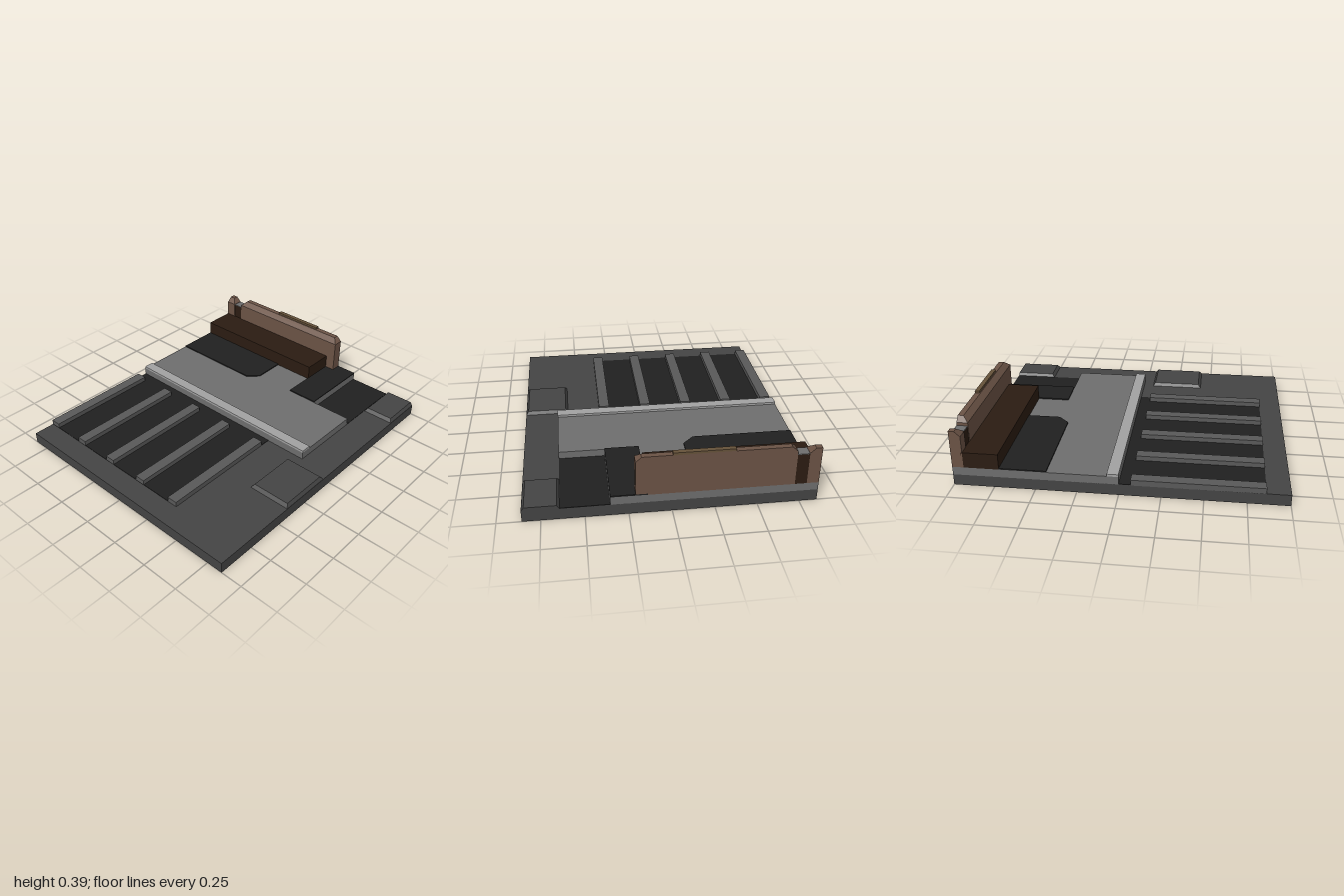
import * as THREE from 'three';

const colors = {
  base: 0x444444, rib: 0x595959, dark: 0x202020, deck: 0x6e6e6e,
  trim: 0xa2a2a2, wall: 0x6b5345, wood: 0x2b1c12, strip: 0x66523a,
};
const materials = {};
for (const key in colors) materials[key] = new THREE.MeshStandardMaterial({ color: colors[key], flatShading: true });

// Box given by its limits; inset pulls in the top edges [left -x, right +x, back -z, front +z]
function block(parent, name, mat, [x0, x1], [y0, y1], [z0, z1], inset = [0, 0, 0, 0]) {
  const geo = new THREE.BoxGeometry(x1 - x0, y1 - y0, z1 - z0);
  geo.translate((x0 + x1) / 2, (y0 + y1) / 2, (z0 + z1) / 2);
  const p = geo.attributes.position;
  for (let i = 0; i < p.count; i++) {
    if (p.getY(i) < (y0 + y1) / 2) continue;
    p.setX(i, p.getX(i) < (x0 + x1) / 2 ? x0 + inset[0] : x1 - inset[1]);
    p.setZ(i, p.getZ(i) < (z0 + z1) / 2 ? z0 + inset[2] : z1 - inset[3]);
  }
  geo.computeVertexNormals();
  const mesh = new THREE.Mesh(geo, materials[mat]);
  mesh.name = name;
  parent.add(mesh);
  return mesh;
}

// Flat plate from a plan outline of [x, z] points
function plate(parent, name, mat, outline, y0, y1) {
  const shape = new THREE.Shape(outline.map(([x, z]) => new THREE.Vector2(x, -z)));
  const geo = new THREE.ExtrudeGeometry(shape, { depth: y1 - y0, bevelEnabled: false });
  geo.rotateX(-Math.PI / 2);
  geo.translate(0, y0, 0);
  const mesh = new THREE.Mesh(geo, materials[mat]);
  mesh.name = name;
  parent.add(mesh);
}

// Upright wall with a chamfered top
function chamferedWall(parent, name, x, top, inset) {
  const wall = new THREE.Group();
  wall.name = name;
  const z = [-1, -0.93];
  block(wall, name + 'Body', 'wall', x, [0.12, top - 0.032], z);
  block(wall, name + 'Top', 'wall', x, [top - 0.032, top], z, inset);
  parent.add(wall);
}

export function createModel() {
  const model = new THREE.Group();
  model.name = 'floorTile';
  const L = -0.857, R = 0.857;

  block(model, 'base', 'base', [L, R], [0, 0.072], [-1, 1]);

  // Ribbed front area
  block(model, 'ribbedFloor', 'dark', [L, 0.355], [0.07, 0.075], [0, 0.857]);
  for (let i = 0; i < 5; i++) {
    const x = L + i * 0.2857;
    block(model, 'rib', 'rib', [x, x + 0.07], [0.07, 0.106], [0.07, 0.857]);
  }

  // Raised deck with a sunken rear corner
  plate(model, 'deck', 'deck',
    [[L, 0], [0.64, 0], [0.64, -0.5], [0.355, -0.5], [0.355, -1], [L, -1]], 0.07, 0.122);
  block(model, 'deckTrim', 'trim', [L, 0.64], [0.122, 0.137], [-0.07, 0]);
  block(model, 'sunkenFloor', 'dark', [0.355, 0.64], [0.07, 0.075], [-1, -0.5]);

  // Dark inlays on the deck
  plate(model, 'leftInlay', 'dark',
    [[L, -0.43], [-0.215, -0.43], [-0.145, -0.5], [-0.145, -0.72], [L, -0.72]], 0.122, 0.13);
  block(model, 'rightInlay', 'dark', [0.14, 0.355], [0.122, 0.13], [-1, -0.5]);

  // Low step in front of the wall
  block(model, 'step', 'wood', [L, 0.143], [0.12, 0.222], [-0.94, -0.715]);

  // Rear wall, corner pillar and the post between them
  chamferedWall(model, 'rearWall', [-0.714, 0.21], 0.378, [0.034, 0.034, 0, 0.034]);
  chamferedWall(model, 'cornerPillar', [L, -0.785], 0.36, [0, 0.034, 0, 0.034]);
  block(model, 'post', 'wood', [-0.785, -0.714], [0.12, 0.322], [-1, -0.933]);
  block(model, 'postCap', 'deck', [-0.785, -0.714], [0.322, 0.326], [-1, -0.933]);
  block(model, 'wallStrip', 'strip', [-0.357, 0], [0.376, 0.392], [-1, -0.97]);

  // Bevelled floor pads on the right edge
  block(model, 'frontPad', 'base', [0.57, R], [0.07, 0.094], [0.067, 0.428], [0.016, 0.016, 0.016, 0.02]);
  block(model, 'rearPad', 'base', [0.64, R], [0.07, 0.094], [-1, -0.715], [0.016, 0.016, 0, 0.02]);

  return model;
}
